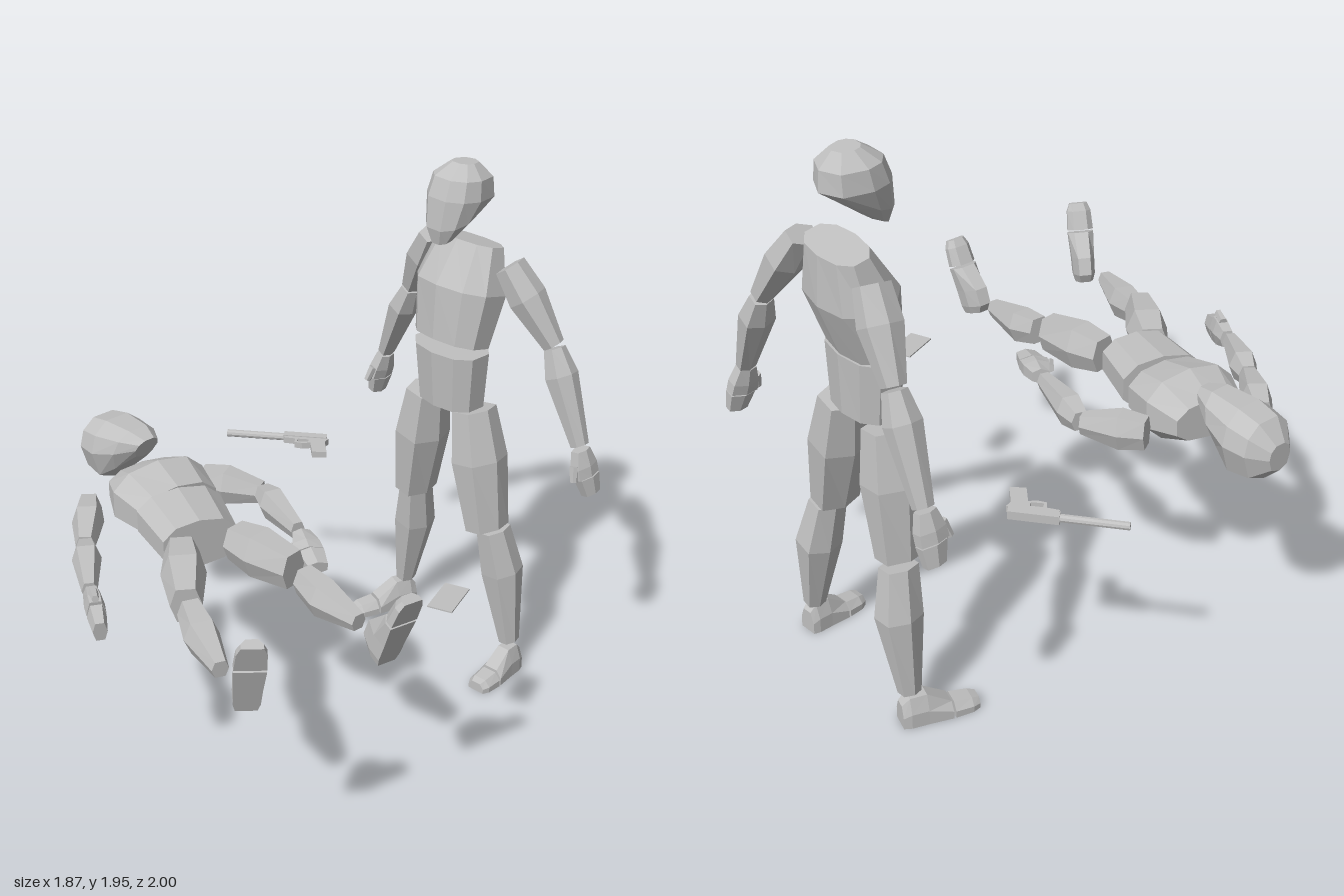
import * as THREE from 'three';

const V = (a) => new THREE.Vector3(...a);
const grey = new THREE.MeshStandardMaterial({ color: 0xc0c0c0 });
grey.name = 'plain grey';

// Cross-sections as [side, front] pairs
const LIMB = [[1, 0], [0.6, 0.95], [-0.6, 0.95], [-1, 0], [-0.6, -0.95], [0.6, -0.95]];
const TORSO = [[1, 0.4], [0.65, 0.85], [0, 1], [-0.65, 0.85], [-1, 0.4], [-1, -0.4], [-0.65, -0.85], [0, -1], [0.65, -0.85], [1, -0.4]];
const FOOT = [[1, 0], [1, 0.5], [0.55, 1], [-0.55, 1], [-1, 0.5], [-1, 0]];
const HEAD = [[1, 0.1], [0.85, 0.65], [0.4, 1], [-0.4, 1], [-0.85, 0.65], [-1, 0.1], [-0.75, -0.7], [0, -1], [0.75, -0.7]];

// Faceted loft from p to q; rings are [t, halfWidth, halfDepth, frontOffset, tilt]
function loft(name, section, p, q, front, rings, k = 1) {
  const a = V(p), axis = V(q).sub(a), u = axis.clone().normalize();
  const f = V(front).addScaledVector(u, -V(front).dot(u)).normalize();
  const s = u.clone().cross(f);
  const n = section.length, pos = [], idx = [];
  rings.forEach(([t, w, d, off = 0, tilt = 0]) => section.forEach(([sx, sf]) => {
    const v = a.clone().addScaledVector(axis, t).addScaledVector(s, sx * w * k)
      .addScaledVector(f, (sf * d + off) * k).addScaledVector(u, sf * tilt * k);
    pos.push(v.x, v.y, v.z);
  }));
  for (let r = 0; r < rings.length - 1; r++) {
    for (let i = 0; i < n; i++) {
      const j = (i + 1) % n, lo = r * n, hi = lo + n;
      idx.push(lo + i, hi + i, hi + j, lo + i, hi + j, lo + j);
    }
  }
  const top = (rings.length - 1) * n;
  for (let i = 1; i < n - 1; i++) idx.push(0, i, i + 1, top, top + i + 1, top + i);
  let g = new THREE.BufferGeometry();
  g.setAttribute('position', new THREE.Float32BufferAttribute(pos, 3));
  g.setIndex(idx);
  g = g.toNonIndexed();
  g.computeVertexNormals();
  const mesh = new THREE.Mesh(g, grey);
  mesh.name = name;
  return mesh;
}

const mix = (a, b, t) => a.map((v, i) => v + (b[i] - v) * t);

function foot(name, { heel, toe, up }) {
  const g = new THREE.Group();
  g.name = name;
  g.add(
    loft('footBody', FOOT, heel, toe, up, [[0, 0.034, 0.085], [0.1, 0.042, 0.112], [0.32, 0.044, 0.112], [0.63, 0.05, 0.058]]),
    loft('toes', FOOT, heel, toe, up, [[0.66, 0.05, 0.053], [0.9, 0.046, 0.045], [1, 0.034, 0.036]]),
  );
  return g;
}

function hand(name, { wrist, tip, thumb }) {
  const g = new THREE.Group();
  g.name = name;
  const root = V(mix(wrist, tip, 0.3)).addScaledVector(V(thumb), 0.045).toArray();
  const end = V(mix(wrist, tip, 0.62)).addScaledVector(V(thumb), 0.062).toArray();
  g.add(
    loft('palm', LIMB, wrist, tip, thumb, [[0, 0.028, 0.032], [0.35, 0.034, 0.05], [0.58, 0.032, 0.052]]),
    loft('fingers', LIMB, wrist, tip, thumb, [[0.6, 0.032, 0.048, -0.005], [1, 0.024, 0.036, -0.01]]),
    loft('thumb', LIMB, root, end, thumb, [[0, 0.016, 0.016], [1, 0.012, 0.012]]),
  );
  return g;
}

// A jointed mannequin; torso parts run upward, limbs run outward
function mannequin(name, b) {
  const g = new THREE.Group();
  g.name = name;
  g.add(
    loft('head', HEAD, ...b.head, b.front, [[0, 0.045, 0.04, 0.065, -0.02], [0.25, 0.085, 0.09, 0.03, -0.03],
      [0.55, 0.108, 0.115, 0], [0.82, 0.098, 0.1, -0.005], [1, 0.045, 0.045, -0.01]], b.headScale),
    loft('chest', TORSO, ...b.chest, b.front, [[0, 0.15, 0.095], [0.55, 0.175, 0.125], [1, 0.135, 0.07, -0.01]], b.torsoScale),
    loft('abdomen', TORSO, ...b.abdomen, b.front, [[0, 0.13, 0.09], [1, 0.15, 0.1]], b.torsoScale),
  );
  for (const side of ['left', 'right']) {
    const { arm, leg } = b[side];
    g.add(
      loft(side + 'UpperArm', LIMB, arm.shoulder, arm.elbow, b.front, [[0, 0.042, 0.055], [0.4, 0.056, 0.066], [1, 0.034, 0.036]]),
      loft(side + 'Forearm', LIMB, mix(arm.elbow, arm.wrist, 0.03), arm.wrist, b.front,
        [[0, 0.034, 0.036], [0.28, 0.05, 0.056], [1, 0.026, 0.032]]),
      hand(side + 'Hand', arm.hand),
      loft(side + 'Thigh', LIMB, leg.hip, leg.knee, b.front, [[0, 0.07, 0.075], [0.42, 0.09, 0.095], [1, 0.062, 0.078]], b.legScale),
      loft(side + 'Shin', LIMB, leg.kneeLow, leg.ankle, b.front,
        [[0, 0.052, 0.06], [0.38, 0.07, 0.072, -0.015], [1, 0.033, 0.036]], b.legScale),
      foot(side + 'Foot', leg.foot),
    );
  }
  return g;
}

const standing = {
  front: [-0.88, 0, 0.47], headScale: 1, torsoScale: 1, legScale: 1,
  head: [[0.49, 1.695, -0.405], [0.505, 1.95, -0.415]],
  chest: [[0.48, 1.3, -0.405], [0.545, 1.655, -0.45]],
  abdomen: [[0.485, 1.06, -0.4], [0.48, 1.275, -0.4]],
  left: {
    arm: {
      shoulder: [0.645, 1.61, -0.28], elbow: [0.78, 1.35, -0.16], wrist: [0.85, 1.02, -0.02],
      hand: { wrist: [0.85, 1.01, -0.01], tip: [0.885, 0.84, 0.015], thumb: [-0.88, 0, 0.47] },
    },
    leg: {
      hip: [0.55, 1.05, -0.32], knee: [0.59, 0.6, -0.225], kneeLow: [0.615, 0.59, -0.225], ankle: [0.68, 0.12, -0.165],
      foot: { heel: [0.71, 0, -0.172], toe: [0.515, 0, -0.035], up: [0, 1, 0] },
    },
  },
  right: {
    arm: {
      shoulder: [0.47, 1.61, -0.64], elbow: [0.43, 1.35, -0.785], wrist: [0.37, 1.02, -0.93],
      hand: { wrist: [0.365, 1.01, -0.93], tip: [0.335, 0.84, -0.965], thumb: [-0.88, 0, 0.47] },
    },
    leg: {
      hip: [0.43, 1.05, -0.52], knee: [0.41, 0.6, -0.585], kneeLow: [0.42, 0.585, -0.62], ankle: [0.405, 0.12, -0.69],
      foot: { heel: [0.44, 0, -0.705], toe: [0.175, 0, -0.64], up: [0, 1, 0] },
    },
  },
};

const lying = {
  front: [0, 1, 0], headScale: 1.08, torsoScale: 1, legScale: 0.84,
  head: [[-0.635, 0.905, -0.41], [-0.795, 0.915, -0.68]],
  chest: [[-0.56, 0.87, -0.13], [-0.655, 0.885, -0.37]],
  abdomen: [[-0.515, 0.865, 0.1], [-0.56, 0.87, -0.11]],
  left: {
    arm: {
      shoulder: [-0.44, 0.84, -0.375], elbow: [-0.245, 0.83, -0.26], wrist: [-0.17, 0.83, 0.03],
      hand: { wrist: [-0.165, 0.83, 0.06], tip: [-0.155, 0.81, 0.25], thumb: [-1, 0, 0] },
    },
    leg: {
      hip: [-0.4, 0.87, 0.11], knee: [-0.24, 0.86, 0.32], kneeLow: [-0.215, 0.845, 0.36], ankle: [-0.085, 0.82, 0.605],
      foot: { heel: [-0.025, 0.745, 0.735], toe: [0.035, 1.015, 0.82], up: [-0.4, 0.2, -0.9] },
    },
  },
  right: {
    arm: {
      shoulder: [-0.855, 0.82, -0.3], elbow: [-0.89, 0.82, -0.04], wrist: [-0.9, 0.81, 0.23],
      hand: { wrist: [-0.895, 0.81, 0.245], tip: [-0.885, 0.79, 0.43], thumb: [0, 1, 0] },
    },
    leg: {
      hip: [-0.585, 0.87, 0.15], knee: [-0.61, 0.855, 0.45], kneeLow: [-0.6, 0.84, 0.465], ankle: [-0.55, 0.82, 0.765],
      foot: { heel: [-0.495, 0.755, 0.9], toe: [-0.485, 1.045, 1.0], up: [0.1, 0.2, -0.95] },
    },
  },
};

// Pistol lying flat; local x runs from muzzle to rear, local z toward the grip
function pistol() {
  const g = new THREE.Group();
  g.name = 'pistol';
  const plate = (name, pts, depth, hole) => {
    const shape = new THREE.Shape(pts.map((p) => new THREE.Vector2(...p)));
    if (hole) shape.holes.push(new THREE.Path(hole.map((p) => new THREE.Vector2(...p))));
    const geo = new THREE.ExtrudeGeometry(shape, { depth, bevelEnabled: false });
    geo.translate(0, 0, -depth / 2);
    geo.rotateX(Math.PI / 2);
    const m = new THREE.Mesh(geo, grey);
    m.name = name;
    g.add(m);
  };
  plate('slide', [[0.22, -0.018], [0.385, -0.018], [0.388, 0.014], [0.22, 0.014]], 0.03);
  plate('frame', [[0.225, 0.014], [0.395, 0.014], [0.385, 0.04], [0.405, 0.12], [0.35, 0.125], [0.332, 0.055],
    [0.3, 0.062], [0.272, 0.058], [0.268, 0.03], [0.225, 0.026]], 0.024, [[0.28, 0.03], [0.322, 0.03], [0.322, 0.049], [0.28, 0.051]]);
  const tube = new THREE.CylinderGeometry(0.014, 0.014, 0.22, 10).toNonIndexed();
  tube.computeVertexNormals();
  const silencer = new THREE.Mesh(tube, grey);
  silencer.name = 'silencer';
  silencer.rotation.z = Math.PI / 2;
  silencer.position.x = 0.11;
  g.add(silencer);
  g.position.set(-0.285, 0.79, -0.81);
  g.rotation.y = -0.362;
  return g;
}

export function createModel() {
  const model = new THREE.Group();
  model.name = 'twoFigures';
  const card = new THREE.Mesh(new THREE.BoxGeometry(0.087, 0.005, 0.153), grey);
  card.name = 'card';
  card.position.set(0.25, 0.77, 0.457);
  card.rotation.y = -0.66;
  model.add(mannequin('standingFigure', standing), mannequin('lyingFigure', lying), pistol(), card);
  return model;
}
